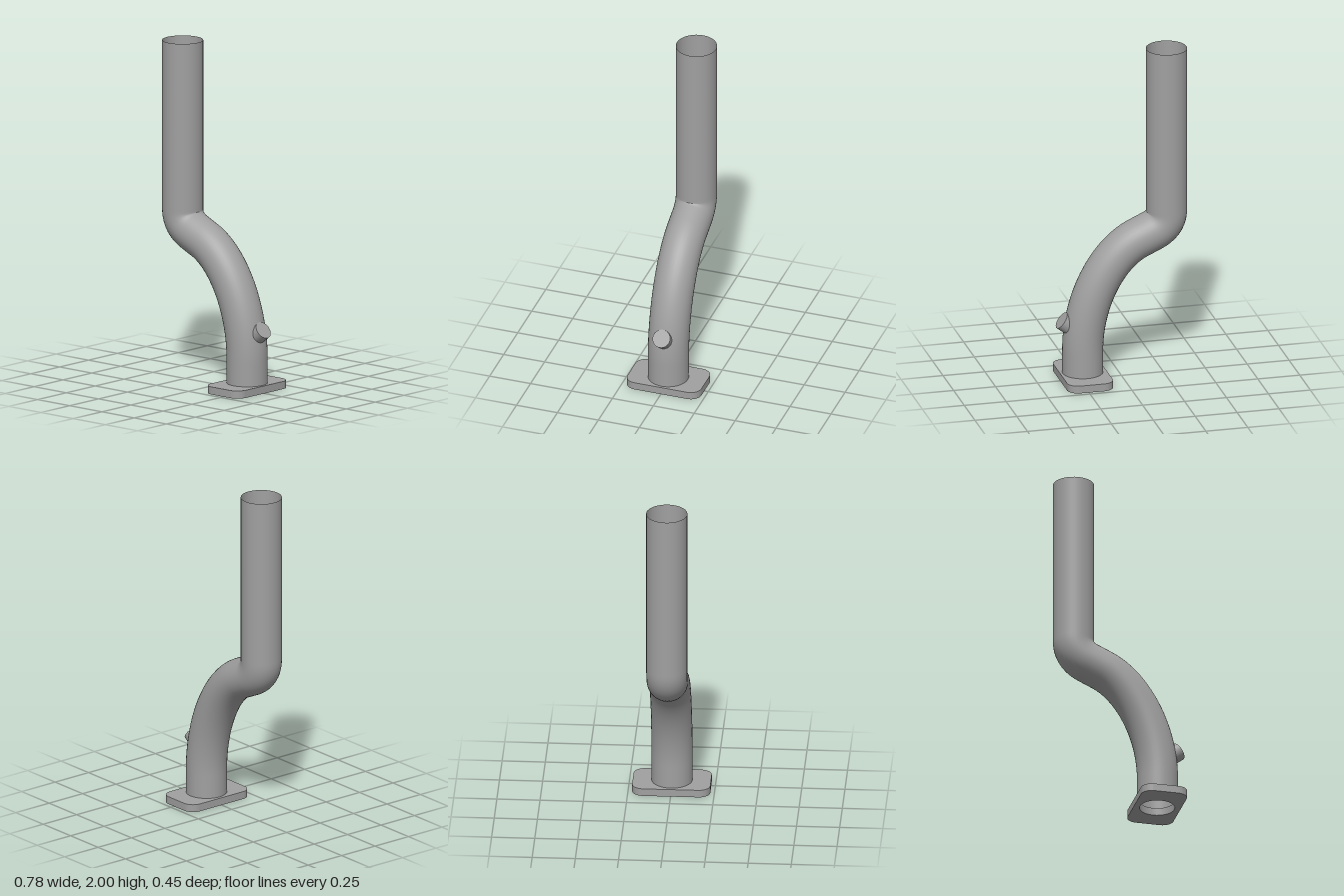
import * as THREE from 'three';
import { toCreasedNormals } from 'three/addons/utils/BufferGeometryUtils.js';

const PIPE_R = 0.119;
const v = (x, y) => new THREE.Vector3(x, y, 0);

// Centre line of the pipe: riser, sweeping bend, short straight, tight elbow, long straight
function pipePath() {
  const path = new THREE.CurvePath();
  path.add(new THREE.LineCurve3(v(0.231, 0.04), v(0.231, 0.18)));
  path.add(new THREE.CubicBezierCurve3(v(0.231, 0.18), v(0.231, 0.48), v(0.085, 0.757), v(-0.1, 0.841)));
  path.add(new THREE.LineCurve3(v(-0.1, 0.841), v(-0.185, 0.88)));
  path.add(new THREE.CubicBezierCurve3(v(-0.185, 0.88), v(-0.237, 0.904), v(-0.269, 0.945), v(-0.269, 1.0)));
  path.add(new THREE.LineCurve3(v(-0.269, 1.0), v(-0.269, 2)));
  return path;
}

// Rounded rectangle plate with a round bore, lying flat on y = 0
function flangeGeometry(w, d, r, bore, h) {
  const x = w / 2, y = d / 2;
  const shape = new THREE.Shape();
  shape.absarc(x - r, y - r, r, 0, Math.PI / 2);
  shape.absarc(-x + r, y - r, r, Math.PI / 2, Math.PI);
  shape.absarc(-x + r, -y + r, r, Math.PI, Math.PI * 1.5);
  shape.absarc(x - r, -y + r, r, Math.PI * 1.5, Math.PI * 2);
  shape.closePath();
  const hole = new THREE.Path();
  hole.absarc(0, 0, bore, 0, Math.PI * 2, true);
  shape.holes.push(hole);
  const geo = new THREE.ExtrudeGeometry(shape, { depth: h, bevelEnabled: false, curveSegments: 16 });
  geo.rotateX(-Math.PI / 2);
  return toCreasedNormals(geo, 0.6);
}

export function createModel() {
  const model = new THREE.Group();
  model.name = 'bentPipe';
  const steel = new THREE.MeshStandardMaterial({ color: 0xa0a0a0 });
  const steelOpen = new THREE.MeshStandardMaterial({ color: 0xa0a0a0, side: THREE.DoubleSide });

  const add = (name, geo, mat) => {
    const mesh = new THREE.Mesh(geo, mat);
    mesh.name = name;
    model.add(mesh);
    return mesh;
  };

  // Open-ended pipe
  add('pipe', new THREE.TubeGeometry(pipePath(), 120, PIPE_R, 36, false), steelOpen);

  // Mounting flange
  add('flange', flangeGeometry(0.272, 0.452, 0.065, 0.102, 0.045), steel).position.set(0.229, 0, 0);

  // Sensor boss, tilted up and away from the pipe
  const axis = v(0.8, 0.6);
  const length = 0.07;
  const boss = add('sensorBoss', new THREE.CylinderGeometry(0.053, 0.053, length, 28), steel);
  boss.quaternion.setFromUnitVectors(v(0, 1), axis);
  boss.position.copy(v(0.357, 0.373)).addScaledVector(axis, -length / 2);

  return model;
}
